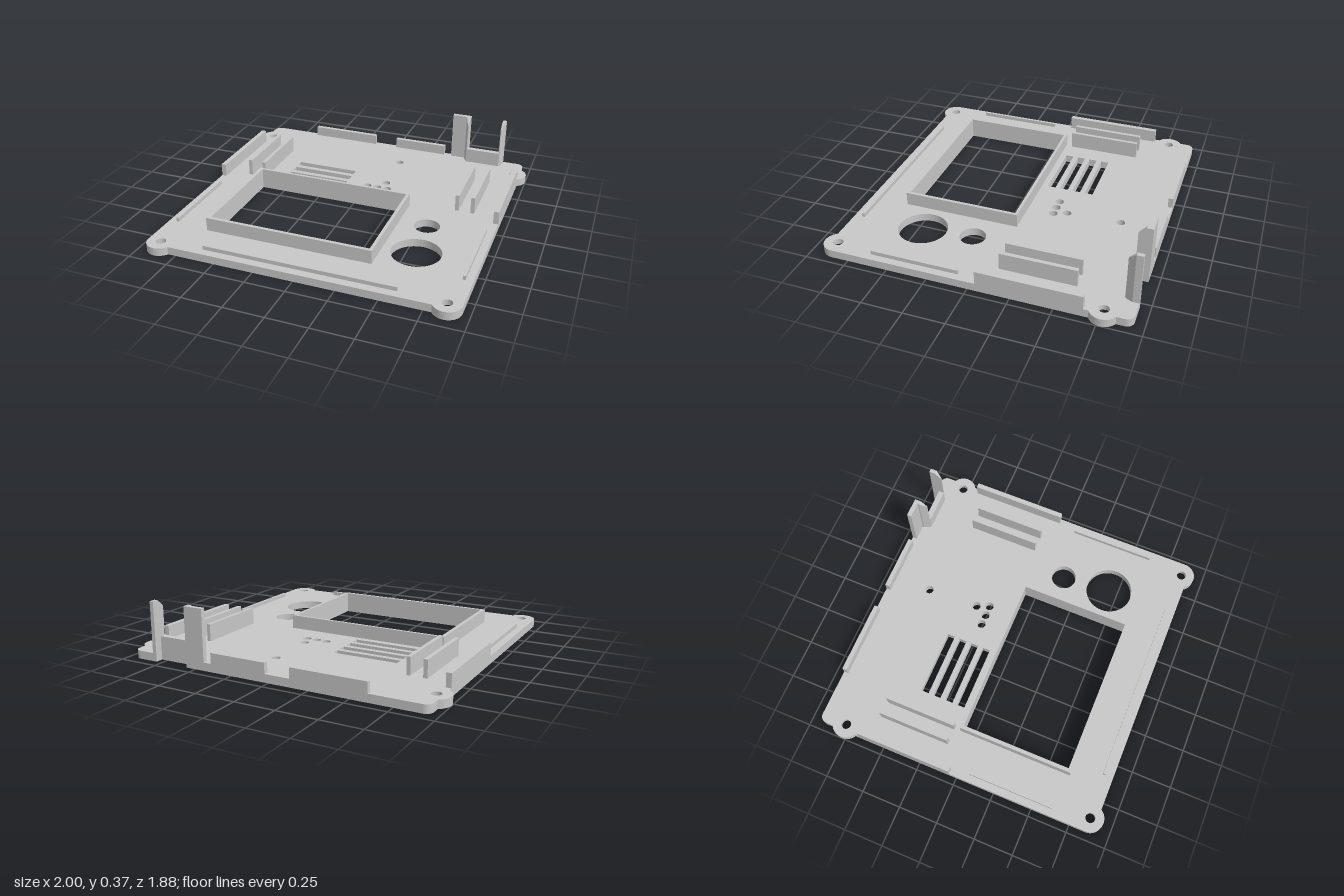
import * as THREE from 'three';

const T = 0.05; // plate thickness
const BACK = -0.94; // back edge of the plate
const deg = Math.PI / 180;

// Plan coordinates are (x, -z), so extrusions turn upright to rise along +y.
function extrudeUp(shape, y0, y1) {
  const g = new THREE.ExtrudeGeometry(shape, { depth: y1 - y0, bevelEnabled: false, curveSegments: 24 });
  return g.rotateX(-Math.PI / 2).translate(0, y0, 0);
}

// Counter-clockwise rectangle in plan
function rect(Type, x0, x1, z0, z1) {
  const p = new Type();
  p.moveTo(x0, -z1).lineTo(x1, -z1).lineTo(x1, -z0).lineTo(x0, -z0).closePath();
  return p;
}

function circle(x, z, r) {
  return new THREE.Path().absarc(x, -z, r, 0, Math.PI * 2, true);
}

// Plate outline with four screw lobes and a notch in the back edge
function plateOutline() {
  const s = new THREE.Shape();
  s.moveTo(-0.798, -0.9);
  s.lineTo(0.798, -0.9);
  s.absarc(0.87, -0.855, 0.085, -148 * deg, 0, false);
  s.lineTo(0.955, 0.697);
  s.absarc(0.915, 0.772, 0.085, -62 * deg, 62 * deg, false);
  s.absarc(0.91, -BACK - 0.045, 0.045, 0, 90 * deg, false);
  s.lineTo(0.787, -BACK);
  s.lineTo(0.787, 0.892);
  s.lineTo(0.563, 0.892);
  s.lineTo(0.563, -BACK);
  s.absarc(-0.91, -BACK - 0.045, 0.045, 90 * deg, 180 * deg, false);
  s.absarc(-0.915, 0.772, 0.085, 118 * deg, 242 * deg, false);
  s.lineTo(-0.955, -0.855);
  s.absarc(-0.87, -0.855, 0.085, 180 * deg, 328 * deg, false);
  return s;
}

// One layer of the plate; the screw holes are wider underneath
function plateLayer(y0, y1, screwRadius) {
  const s = plateOutline();
  for (const side of [-1, 1]) {
    s.holes.push(circle(side * 0.915, -0.772, screwRadius));
    s.holes.push(circle(side * 0.87, 0.855, screwRadius));
  }
  // window
  s.holes.push(rect(THREE.Path, -0.655, 0.356, -0.07, 0.625));
  // vent slots
  for (let i = 0; i < 4; i++) {
    const z = -0.427 + i * 0.083;
    s.holes.push(rect(THREE.Path, -0.532, -0.117, z, z + 0.05));
  }
  // indicator holes
  for (const [x, z] of [[0.125, -0.671], [0.137, -0.333], [0.032, -0.252], [0.1, -0.252], [0.168, -0.252]])
    s.holes.push(circle(x, z, 0.027));
  // large round openings
  s.holes.push(circle(0.553, 0.128, 0.08), circle(0.578, 0.442, 0.15));
  return extrudeUp(s, y0, y1);
}

// Front half of a cheek: its outer side runs diagonally in and its top slopes down
function wedge(inner, outer, z0, z1, top) {
  const x0 = Math.min(inner, outer), x1 = Math.max(inner, outer);
  const g = new THREE.BoxGeometry(x1 - x0, top - T, z1 - z0)
    .translate((x0 + x1) / 2, (top + T) / 2, (z0 + z1) / 2).toNonIndexed();
  const p = g.attributes.position;
  for (let i = 0; i < p.count; i++) {
    if (p.getZ(i) < (z0 + z1) / 2) continue;
    if (Math.abs(p.getX(i) - outer) < 0.001) p.setX(i, inner + (outer - inner) * 0.2);
    if (p.getY(i) > T + 0.01) p.setY(i, top - 0.04);
  }
  g.computeVertexNormals();
  return g;
}

export function createModel() {
  const model = new THREE.Group();
  model.name = 'enclosurePanel';
  const grey = new THREE.MeshStandardMaterial({ color: 0xc8c8c8 });
  grey.name = 'plastic grey';

  const add = (name, geometry) => {
    const m = new THREE.Mesh(geometry, grey);
    m.name = name;
    model.add(m);
  };
  const wall = (name, x0, x1, z0, z1, top, bottom = T) => {
    const g = new THREE.BoxGeometry(x1 - x0, top - bottom, z1 - z0);
    add(name, g.translate((x0 + x1) / 2, (top + bottom) / 2, (z0 + z1) / 2));
  };

  // Base plate
  add('plateUnderside', plateLayer(0, 0.02, 0.05));
  add('plateTop', plateLayer(0.02, T, 0.03));

  // Raised frame around the window
  const frame = rect(THREE.Shape, -0.678, 0.376, -0.088, 0.647);
  frame.holes.push(rect(THREE.Path, -0.655, 0.356, -0.07, 0.625));
  add('windowFrame', extrudeUp(frame, T, 0.135));

  // Mirrored side walls and ribs
  for (const [side, label] of [[1, 'left'], [-1, 'right']]) {
    const mirrored = (name, a, b, z0, z1, top) =>
      wall(label + name, Math.min(side * a, side * b), Math.max(side * a, side * b), z0, z1, top);
    mirrored('SideWall', 0.923, 0.955, -0.667, -0.046, 0.133);
    mirrored('LowRib', 0.893, 0.91, 0.073, 0.617, 0.075);
    mirrored('OuterGuide', 0.762, 0.787, -0.587, -0.127, 0.157);
    mirrored('InnerGuide', 0.663, 0.686, -0.587, -0.127, 0.157);
  }

  // Front rib and back walls
  wall('frontRib', -0.592, 0.592, 0.832, 0.85, 0.075);
  wall('backWallRight', -0.608, -0.138, BACK, -0.911, 0.115);
  wall('backWallLeft', 0.022, 0.387, BACK, -0.911, 0.115);

  // Connector bay: low wall, wide post and two tapered cheeks
  wall('bayWall', 0.563, 0.787, -0.892, -0.855, 0.145, 0);
  wall('bayPost', 0.438, 0.538, BACK, -0.911, 0.365);
  for (const [label, inner, outer] of [['Right', 0.563, 0.538], ['Left', 0.787, 0.812]]) {
    wall('bayCheek' + label, Math.min(inner, outer), Math.max(inner, outer), BACK, -0.9, 0.365);
    add('bayCheekTip' + label, wedge(inner, outer, -0.9, -0.857, 0.365));
  }

  return model;
}
